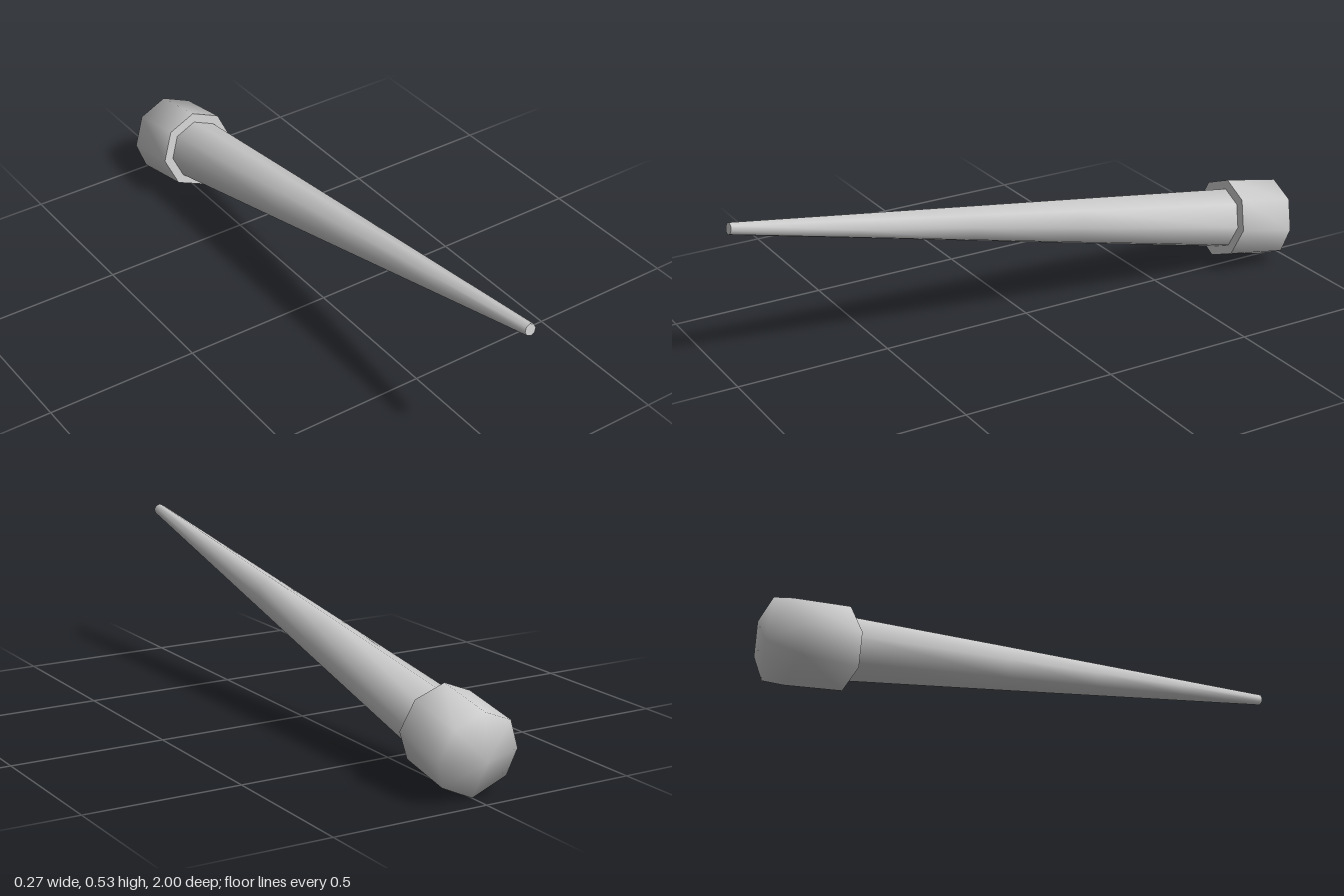
import * as THREE from 'three';
import { toCreasedNormals } from 'three/addons/utils/BufferGeometryUtils.js';

const SIDES = 8;

// Eight-sided cross-section at position z along the axis; adjust(i, point) may nudge corner i
function ring(z, radius, adjust) {
  return Array.from({ length: SIDES }, (_, i) => {
    const a = (i / SIDES) * Math.PI * 2;
    const p = new THREE.Vector3(Math.cos(a) * radius, Math.sin(a) * radius, z);
    if (adjust) adjust(i, p);
    return p;
  });
}

// Skin over the rings, closed at both ends by a fan to a centre point
function loft(startZ, rings, endZ) {
  const points = [new THREE.Vector3(0, 0, startZ), ...rings.flat(), new THREE.Vector3(0, 0, endZ)];
  const last = points.length - 1;
  const id = (j, i) => 1 + j * SIDES + (i % SIDES);
  const index = [];
  for (let i = 0; i < SIDES; i++) {
    index.push(0, id(0, i + 1), id(0, i));
    for (let j = 0; j < rings.length - 1; j++) {
      const a = id(j, i), b = id(j, i + 1), c = id(j + 1, i + 1), d = id(j + 1, i);
      index.push(a, b, c, a, c, d);
    }
    index.push(id(rings.length - 1, i), id(rings.length - 1, i + 1), last);
  }
  const geometry = new THREE.BufferGeometry().setFromPoints(points);
  geometry.setIndex(index);
  return toCreasedNormals(geometry, THREE.MathUtils.degToRad(80));
}

export function createModel() {
  const material = new THREE.MeshStandardMaterial({ color: 0xcccccc });
  const group = new THREE.Group();
  group.name = 'taperedRod';

  // Everything lies along one tilted axis, starting at the front rim of the knob
  const axis = new THREE.Group();
  axis.name = 'tiltedAxis';
  axis.position.set(0, 0.175, -0.76);
  axis.rotation.x = -0.192;
  group.add(axis);

  const add = (name, geometry) => {
    const mesh = new THREE.Mesh(geometry, material);
    mesh.name = name;
    axis.add(mesh);
  };

  // Long shaft tapering to the tip, with a slight dent on its left side
  const length = 1.79;
  const shaftRings = [-0.02, 0.6, 0.98, 1.38, length].map((z, j) => {
    const radius = THREE.MathUtils.lerp(0.103, 0.019, Math.max(z, 0) / length);
    const dent = [0, 0.004, 0.013, 0, 0][j];
    return ring(z, radius, (i, p) => { if (i === 0) p.x -= dent; });
  });
  add('shaft', loft(-0.02, shaftRings, length));

  // Knob with a shallow domed back; its lower back corners flare outwards
  const knobBack = ring(-0.2, 0.135, (i, p) => {
    if (i === 5 || i === 7) p.set(Math.sign(p.x) * 0.11, -0.083, p.z);
  });
  add('knob', loft(-0.245, [knobBack, ring(0, 0.1335)], 0));

  return group;
}
